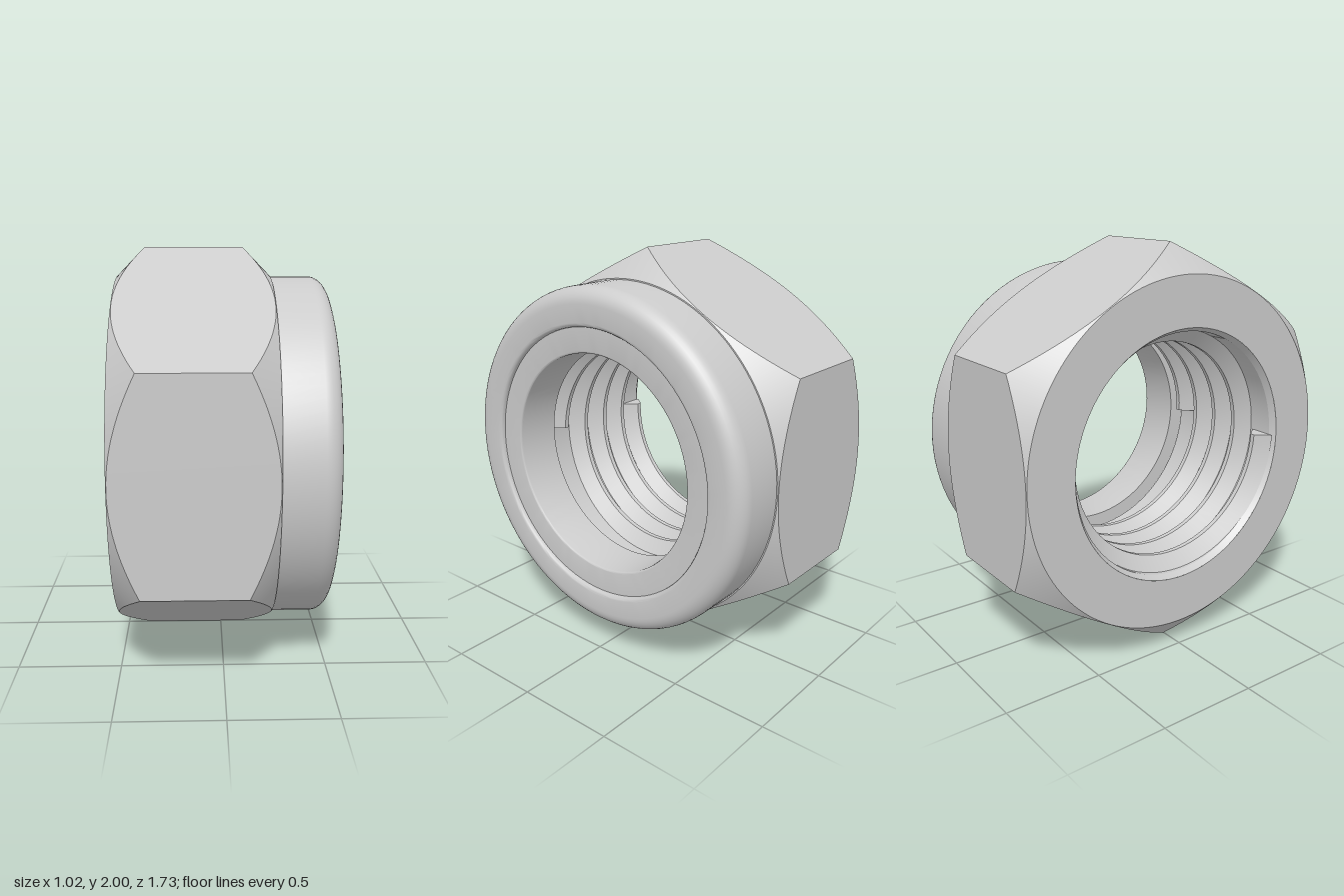
import * as THREE from 'three';
import { toCreasedNormals } from 'three/addons/utils/BufferGeometryUtils.js';

const TAU = Math.PI * 2;
const material = new THREE.MeshStandardMaterial({ color: 0xcccccc });

// Skin a row of cross-sections set around the x axis.
// section(i) returns { a: angle, points: [[x, radius], ...] }
function skin(name, steps, section) {
  const positions = [], index = [];
  let n = 0;
  for (let i = 0; i <= steps; i++) {
    const { a, points } = section(i);
    n = points.length;
    for (const [x, r] of points) positions.push(x, 1 + r * Math.cos(a), r * Math.sin(a));
  }
  for (let i = 0; i < steps; i++) {
    for (let j = 0; j < n - 1; j++) {
      const p = i * n + j, q = p + n;
      index.push(p, q, p + 1, q, q + 1, p + 1);
    }
  }
  const geometry = new THREE.BufferGeometry();
  geometry.setAttribute('position', new THREE.Float32BufferAttribute(positions, 3));
  geometry.setIndex(index);
  const mesh = new THREE.Mesh(toCreasedNormals(geometry, 0.42), material);
  mesh.name = name;
  return mesh;
}

// Round part: the same profile all the way around
const turned = (name, points) => skin(name, 96, i => ({ a: (i % 96) / 96 * TAU, points }));

// Quarter-round corner between two angles, in (x, radius)
function fillet(cx, cr, radius, from, to, steps = 8) {
  return Array.from({ length: steps + 1 }, (_, k) => {
    const t = from + (to - from) * k / steps;
    return [cx + radius * Math.sin(t), cr + radius * Math.cos(t)];
  });
}

export function createModel() {
  const group = new THREE.Group();
  group.name = 'lockNut';

  const flat = Math.sqrt(3) / 2;      // half the width across flats
  const back = -0.51, shoulder = 0.24, front = 0.51;
  const valley = 0.60, crest = 0.53;  // thread radii

  // Hexagon with conical chamfers at both ends
  group.add(skin('hexBody', 144, i => {
    const a = (i % 144) / 144 * TAU;
    const r = flat / Math.cos((a % (TAU / 6)) - TAU / 12);
    const drop = (r - flat) * 0.98 + 0.003;
    return {
      a,
      points: [[back, 0.62], [back, flat - 0.003], [back + drop, r],
        [shoulder - drop, r], [shoulder, flat - 0.003], [shoulder, 0.84]],
    };
  }));

  // Round collar with a rolled lip
  group.add(turned('collar', [
    [shoulder - 0.01, 0.857],
    ...fillet(front - 0.08, 0.777, 0.08, 0, Math.PI / 2),
    ...fillet(front - 0.02, 0.69, 0.02, Math.PI / 2, Math.PI, 4),
    [0.25, 0.67],
  ]));

  // Smooth locking ring held inside the collar
  group.add(turned('lockingRing', [
    [0.25, 0.672], [0.485, 0.672],
    ...fillet(0.475, 0.555, 0.01, Math.PI / 2, Math.PI, 4),
    [0.25, 0.545], [0.25, 0.672],
  ]));

  // Seat behind the ring, bore wall and countersink
  group.add(turned('bore', [
    [0.25, 0.672], [0.22, 0.672], [0.22, valley], [back + 0.03, valley], [back, 0.62],
  ]));

  // Right-handed helical thread ridge with flat ends
  const turns = 4, pitch = 0.15, steps = turns * 72;
  group.add(skin('thread', steps + 2, i => {
    const k = Math.min(Math.max(i - 1, 0), steps) / steps;
    const x = -0.43 + k * turns * pitch;
    const top = i === 0 || i === steps + 2 ? valley + 0.002 : crest;
    return {
      a: Math.PI / 2 + k * turns * TAU,
      points: [[x + 0.07, valley + 0.002], [x + 0.012, top],
        [x - 0.012, top], [x - 0.07, valley + 0.002]],
    };
  }));

  return group;
}
